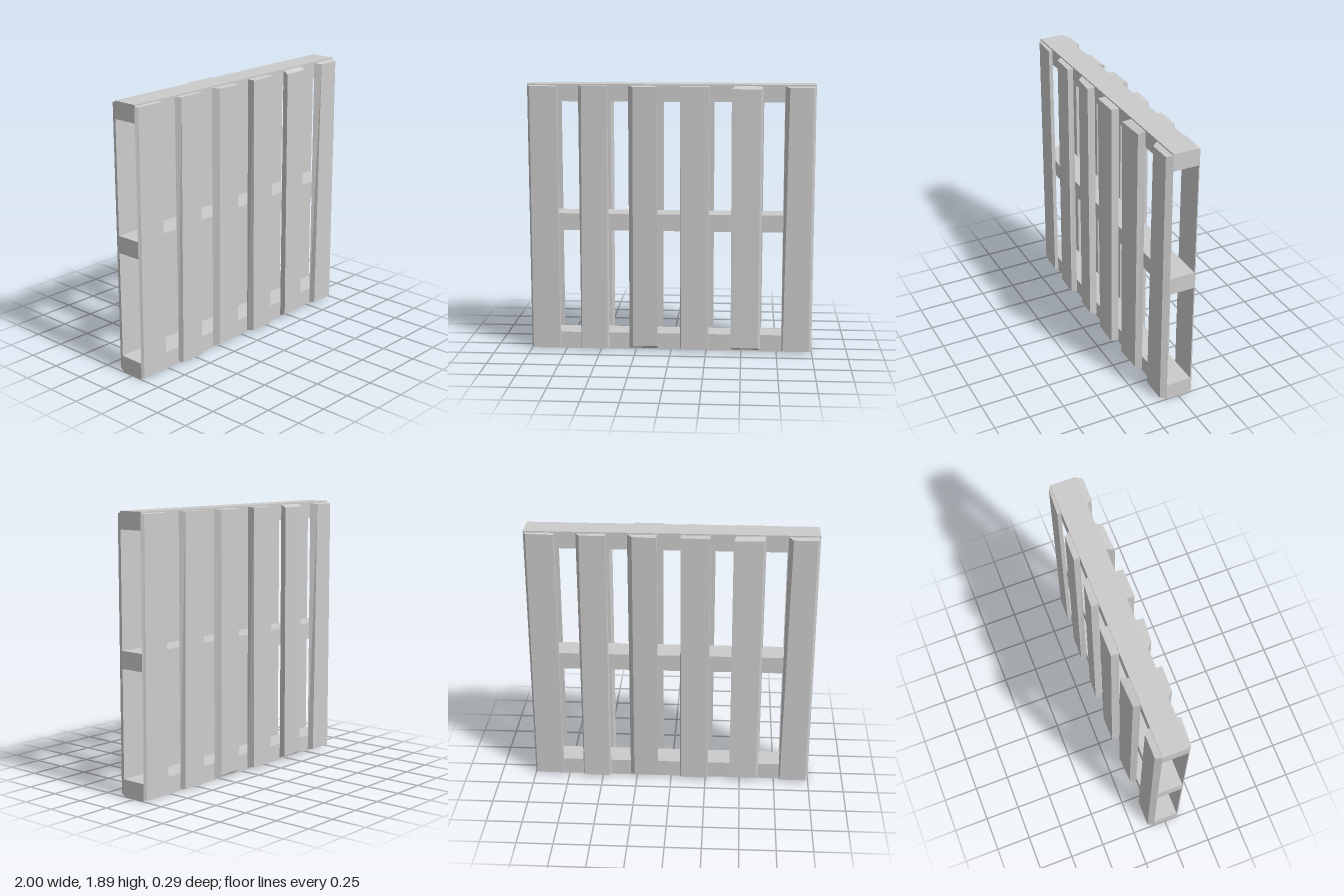
import * as THREE from 'three';

const material = new THREE.MeshStandardMaterial({ color: 0xcccccc, flatShading: true });
const RAIL_FRONT = 0.09;
const Y0 = 0.01, Y1 = 1.885;

// Each plank: x edges against the rails, x edges of the outer face at its
// bottom and top, outer z at left and right, outer y at bottom left, bottom right and top
const PLANKS = [
  { inner: [-1.0, -0.79], low: [-0.988, -0.793], high: [-0.983, -0.793], z: [0.107, 0.117], y: [0.015, 0.015, 1.88] },
  { inner: [-0.645, -0.44], low: [-0.635, -0.452], high: [-0.62, -0.442], z: [0.127, 0.131], y: [0.013, 0.013, 1.883] },
  { inner: [-0.297, -0.095], low: [-0.268, -0.095], high: [-0.263, -0.097], z: [0.13, 0.143], y: [0.03, 0.042, 1.88] },
  { inner: [0.065, 0.268], low: [0.075, 0.262], high: [0.065, 0.264], z: [0.144, 0.144], y: [0.026, 0.02, 1.882] },
  { inner: [0.44, 0.636], low: [0.427, 0.618], high: [0.42, 0.622], z: [0.145, 0.136], y: [0.035, 0.035, 1.868] },
  { inner: [0.787, 1.0], low: [0.795, 0.98], high: [0.818, 0.98], z: [0.133, 0.133], y: [0.015, 0.015, 1.877] },
];

// A box whose outer face is trimmed unevenly, like a rough-cut plank
function plankGeometry({ inner, low, high, z, y }) {
  const geometry = new THREE.BoxGeometry(1, 1, 1);
  const p = geometry.attributes.position;
  for (let i = 0; i < p.count; i++) {
    const side = p.getX(i) > 0 ? 1 : 0;
    const top = p.getY(i) > 0;
    if (p.getZ(i) > 0) p.setXYZ(i, (top ? high : low)[side], top ? y[2] : y[side], z[side]);
    else p.setXYZ(i, inner[side], top ? Y1 : Y0, RAIL_FRONT);
  }
  geometry.computeVertexNormals();
  return geometry;
}

export function createModel() {
  const model = new THREE.Group();
  model.name = 'pallet';

  // Three cross rails
  [['bottomRail', 0.06], ['middleRail', 0.925], ['topRail', 1.835]].forEach(([name, y]) => {
    const rail = new THREE.Mesh(new THREE.BoxGeometry(2, 0.12, RAIL_FRONT * 2), material);
    rail.name = name;
    rail.position.y = y;
    model.add(rail);
  });

  // The same set of planks on the front and, turned half round, on the back
  const geometries = PLANKS.map(plankGeometry);
  ['front', 'back'].forEach((face, f) => {
    const deck = new THREE.Group();
    deck.name = face + 'Deck';
    deck.rotation.y = f * Math.PI;
    geometries.forEach((geometry, i) => {
      const plank = new THREE.Mesh(geometry, material);
      plank.name = face + 'Plank' + (i + 1);
      deck.add(plank);
    });
    model.add(deck);
  });

  return model;
}
